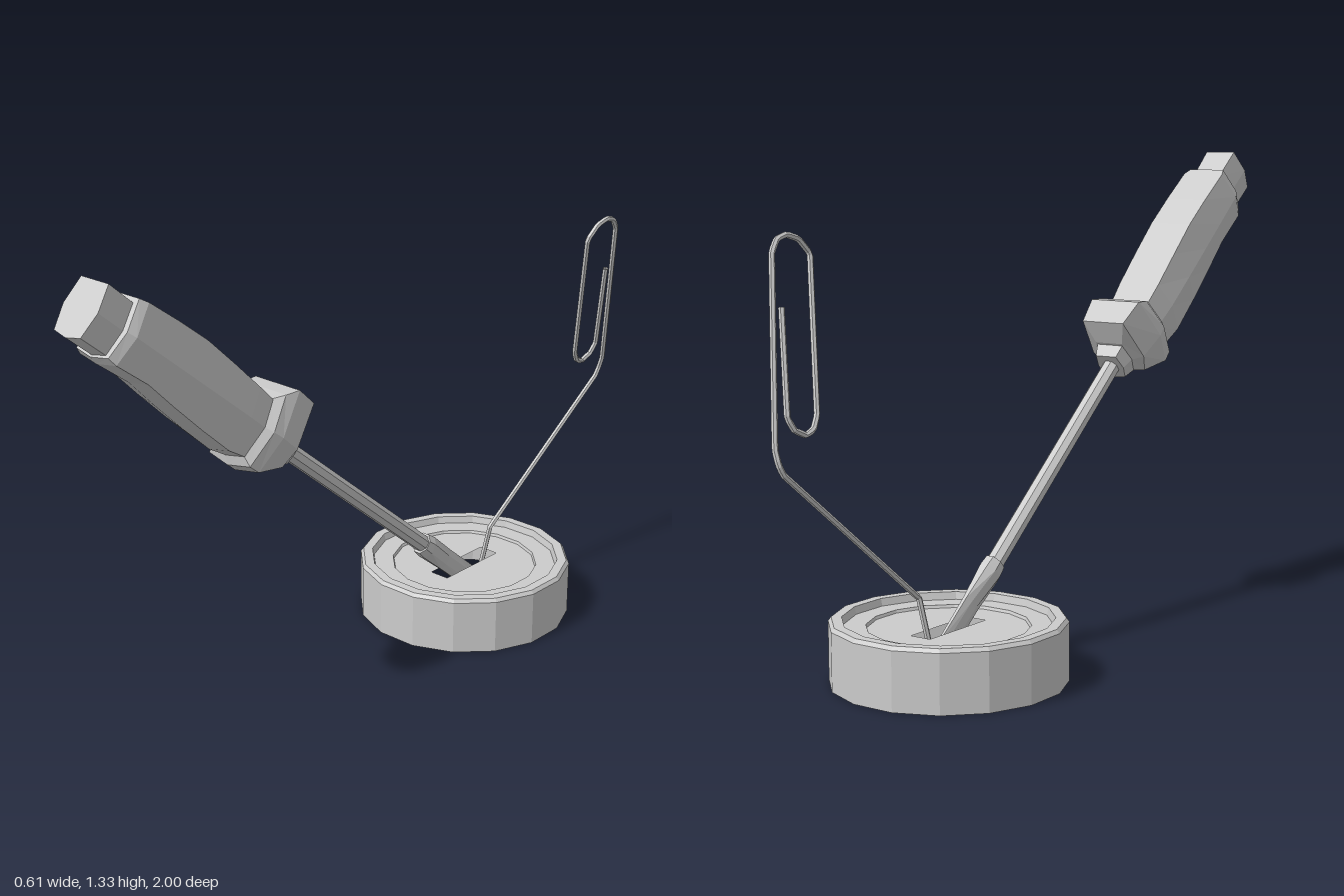
import * as THREE from 'three';

const material = new THREE.MeshStandardMaterial({ color: 0xcccccc, flatShading: true, side: THREE.DoubleSide });

function add(parent, name, geometry) {
  const mesh = new THREE.Mesh(geometry, material);
  mesh.name = name;
  parent.add(mesh);
  return mesh;
}

// Skin a row of equal-length outlines (counter-clockwise, running along +z) and cap both ends
function loft(rings) {
  const n = rings[0].length, last = (rings.length - 1) * n, index = [];
  for (let r = 0; r < rings.length - 1; r++) {
    for (let i = 0; i < n; i++) {
      const a = r * n + i, b = r * n + (i + 1) % n;
      index.push(a, b, b + n, a, b + n, a + n);
    }
  }
  for (let i = 1; i < n - 1; i++) index.push(0, i + 1, i, last, last + i, last + i + 1);
  const geometry = new THREE.BufferGeometry();
  geometry.setAttribute('position', new THREE.Float32BufferAttribute(rings.flat(2), 3));
  geometry.setIndex(index);
  geometry.computeVertexNormals();
  return geometry;
}

// Handle outline: flat top, pointed sides, shallow keel; each ring is [along, halfWidth, up, down]
const OUTLINE = [[1, 0], [0.79, 1], [-0.79, 1], [-1, 0], [-0.77, -0.88], [0, -1], [0.77, -0.88]];
const handleLoft = (rows) => loft(rows.map(([t, w, up, down]) =>
  OUTLINE.map(([x, y]) => [x * w, y * (y > 0 ? up : down), t])));

// Eight-sided oval outline
const oval = (t, w, h) => Array.from({ length: 8 }, (_, i) => {
  const a = (i + 0.5) * Math.PI / 4, k = 1 / Math.cos(Math.PI / 8);
  return [Math.cos(a) * w * k, Math.sin(a) * h * k, t];
});

function createLockCylinder() {
  const group = new THREE.Group();
  group.name = 'lockCylinder';
  group.position.z = -0.455;

  // Hollow, open-bottomed housing with a stepped rim
  const profile = [[0.31, 0], [0.31, 0.155], [0.302, 0.165], [0.275, 0.165], [0.27, 0.145], [0.213, 0.145], [0.21, 0.137]]
    .map(([r, y]) => new THREE.Vector2(r, y));
  add(group, 'housing', new THREE.LatheGeometry(profile, 16, Math.PI / 16));

  // Face plate with the keyway cut through
  const face = new THREE.Shape(Array.from({ length: 16 }, (_, i) => {
    const a = (i + 0.5) * Math.PI / 8;
    return new THREE.Vector2(Math.cos(a) * 0.21, Math.sin(a) * 0.21);
  }));
  face.holes.push(new THREE.Path([[-0.03, -0.115], [-0.03, 0.115], [0.03, 0.115], [0.03, -0.115]]
    .map(([x, y]) => new THREE.Vector2(x, y))));
  const plate = add(group, 'facePlate', new THREE.ShapeGeometry(face));
  plate.rotation.x = -Math.PI / 2;
  plate.position.y = 0.137;
  return group;
}

function createScrewdriver() {
  const group = new THREE.Group();
  group.name = 'screwdriver';
  group.position.set(0, 0.25, -0.28);
  group.rotation.x = -0.695;

  // Flat blade reaching into the keyway, then the shaft
  add(group, 'blade', loft([
    oval(-0.26, 0.008, 0.032), oval(-0.11, 0.012, 0.032), oval(0, 0.028, 0.034), oval(0.03, 0.026, 0.03),
  ]));
  add(group, 'shaft', loft([oval(0, 0.023, 0.023), oval(0.79, 0.023, 0.023)]));

  // Collar, slanted guard, grip and pommel
  add(group, 'collar', handleLoft([[0.755, 0.042, 0.042, 0.042], [0.815, 0.06, 0.06, 0.058]]));
  add(group, 'guard', handleLoft([
    [0.79, 0.055, 0.06, 0.05], [0.805, 0.085, 0.128, 0.065], [0.89, 0.1, 0.13, 0.118],
    [0.925, 0.095, 0.1, 0.118], [0.95, 0.072, 0.072, 0.095],
  ]));
  add(group, 'grip', handleLoft([
    [0.92, 0.075, 0.072, 0.095], [1.01, 0.082, 0.08, 0.11], [1.13, 0.083, 0.09, 0.104],
    [1.25, 0.083, 0.098, 0.094], [1.36, 0.083, 0.095, 0.082], [1.48, 0.083, 0.088, 0.088], [1.505, 0.072, 0.084, 0.082],
  ]));
  add(group, 'pommel', handleLoft([[1.49, 0.056, 0.07, 0.076], [1.6, 0.06, 0.072, 0.077]]));
  return group;
}

// Bent paper clip: [z, y] stations, leaning sideways as it rises
function createPaperClip() {
  const lean = (y) => y < 0.64 ? Math.max(0, 0.015 + 0.135 * (y - 0.165)) : 0.085 + 0.227 * (y - 0.65);
  const points = [
    [-0.52, 0.07], [-0.535, 0.165], [-0.545, 0.23], [-0.98, 0.605], [-0.992, 0.63], [-0.992, 0.665],
    [-0.88, 1.115], [-0.855, 1.145], [-0.82, 1.154], [-0.78, 1.142], [-0.748, 1.105],
    [-0.829, 0.725], [-0.85, 0.694], [-0.88, 0.684], [-0.915, 0.7], [-0.932, 0.73], [-0.882, 0.985],
  ].map(([z, y]) => new THREE.Vector3(lean(y), y, z));
  const path = new THREE.CurvePath();
  for (let i = 1; i < points.length; i++) path.add(new THREE.LineCurve3(points[i - 1], points[i]));
  return new THREE.TubeGeometry(path, 180, 0.008, 6);
}

export function createModel() {
  const model = new THREE.Group();
  model.name = 'lockPickingSet';
  model.add(createLockCylinder(), createScrewdriver());
  add(model, 'paperClip', createPaperClip());
  return model;
}
